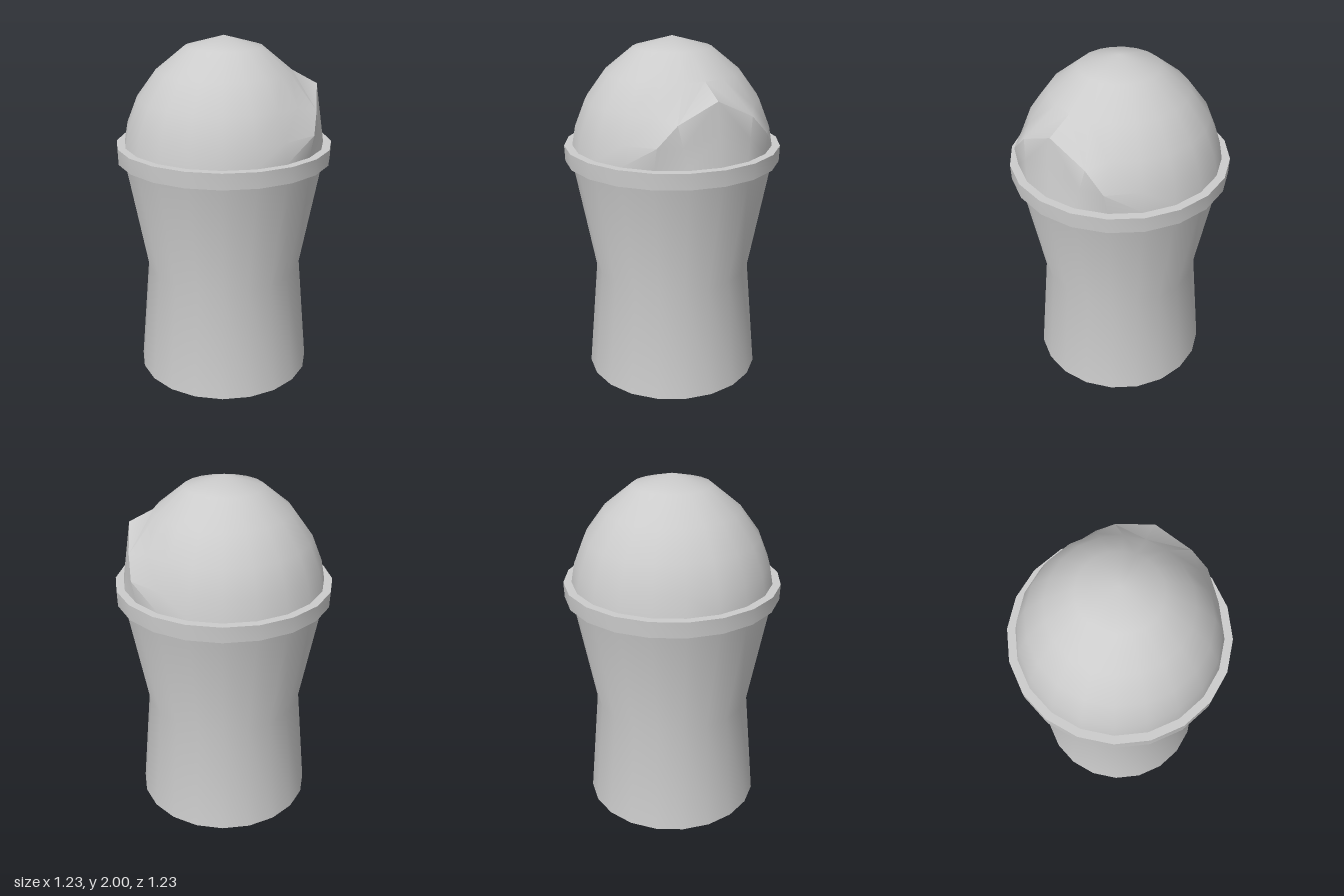
import * as THREE from 'three';
import { toCreasedNormals } from 'three/addons/utils/BufferGeometryUtils.js';

const SIDES = 20;
const CREASE = 0.6;
const material = new THREE.MeshStandardMaterial({ color: 0xcccccc, side: THREE.DoubleSide });

function addPart(group, name, geometry) {
  const mesh = new THREE.Mesh(toCreasedNormals(geometry, CREASE), material);
  mesh.name = name;
  group.add(mesh);
}

function lathe(points) {
  return new THREE.LatheGeometry(points.map(([r, y]) => new THREE.Vector2(r, y)), SIDES);
}

// Dome of rings, with the +x side pulled out into a flap under a small arched hood
function domeGeometry() {
  const rings = [[0.57, 1.4], [0.55, 1.51], [0.49, 1.66], [0.38, 1.81], [0.22, 1.94]];
  const arch = [ // hood edge at 0, 18 and 36 degrees: ring, position
    [2, [0.52, 1.735, 0]],
    [2, [0.502, 1.63, 0.22]],
    [1, [0.484, 1.52, 0.328]],
  ];
  const positions = [];
  rings.forEach(([r, y], row) => {
    for (let col = 0; col < SIDES; col++) {
      const a = (col / SIDES) * Math.PI * 2;
      const p = new THREE.Vector3(r * Math.cos(a), y, r * Math.sin(a));
      const k = Math.min(col, SIDES - col);
      if (k < arch.length && row > 0 && row <= arch[k][0]) {
        // flap points lie on the straight line from the rim to the hood edge
        const [top, edge] = arch[k];
        const base = new THREE.Vector3(
          rings[0][0] * Math.cos(a), rings[0][1], rings[0][0] * Math.sin(a));
        const end = new THREE.Vector3(edge[0], edge[1], edge[2] * Math.sign(Math.sin(a)));
        p.lerpVectors(base, end, row / top);
      }
      positions.push(p.x, p.y, p.z);
    }
  });
  positions.push(0, 2, 0);

  const index = [];
  const at = (row, col) => row * SIDES + (col % SIDES);
  const last = rings.length - 1;
  for (let col = 0; col < SIDES; col++) {
    for (let row = 0; row < last; row++) {
      const a = at(row, col), b = at(row, col + 1);
      const c = at(row + 1, col + 1), d = at(row + 1, col);
      // diagonals mirror across z = 0
      if (col < SIDES / 2) index.push(a, d, b, b, d, c);
      else index.push(a, d, c, a, c, b);
    }
    index.push(at(last, col), rings.length * SIDES, at(last, col + 1));
  }
  const geometry = new THREE.BufferGeometry();
  geometry.setAttribute('position', new THREE.Float32BufferAttribute(positions, 3));
  geometry.setIndex(index);
  return geometry;
}

export function createModel() {
  const group = new THREE.Group();
  group.name = 'domedBin';

  // Waisted body, open underneath
  addPart(group, 'body', lathe([[0.513, 0], [0.455, 0.655], [0.575, 1.31]]));

  // Projecting rim between body and lid
  addPart(group, 'rim', lathe([[0.575, 1.31], [0.613, 1.31], [0.616, 1.4], [0.57, 1.4]]));

  // Lid with flap
  addPart(group, 'domeLid', domeGeometry());

  return group;
}
